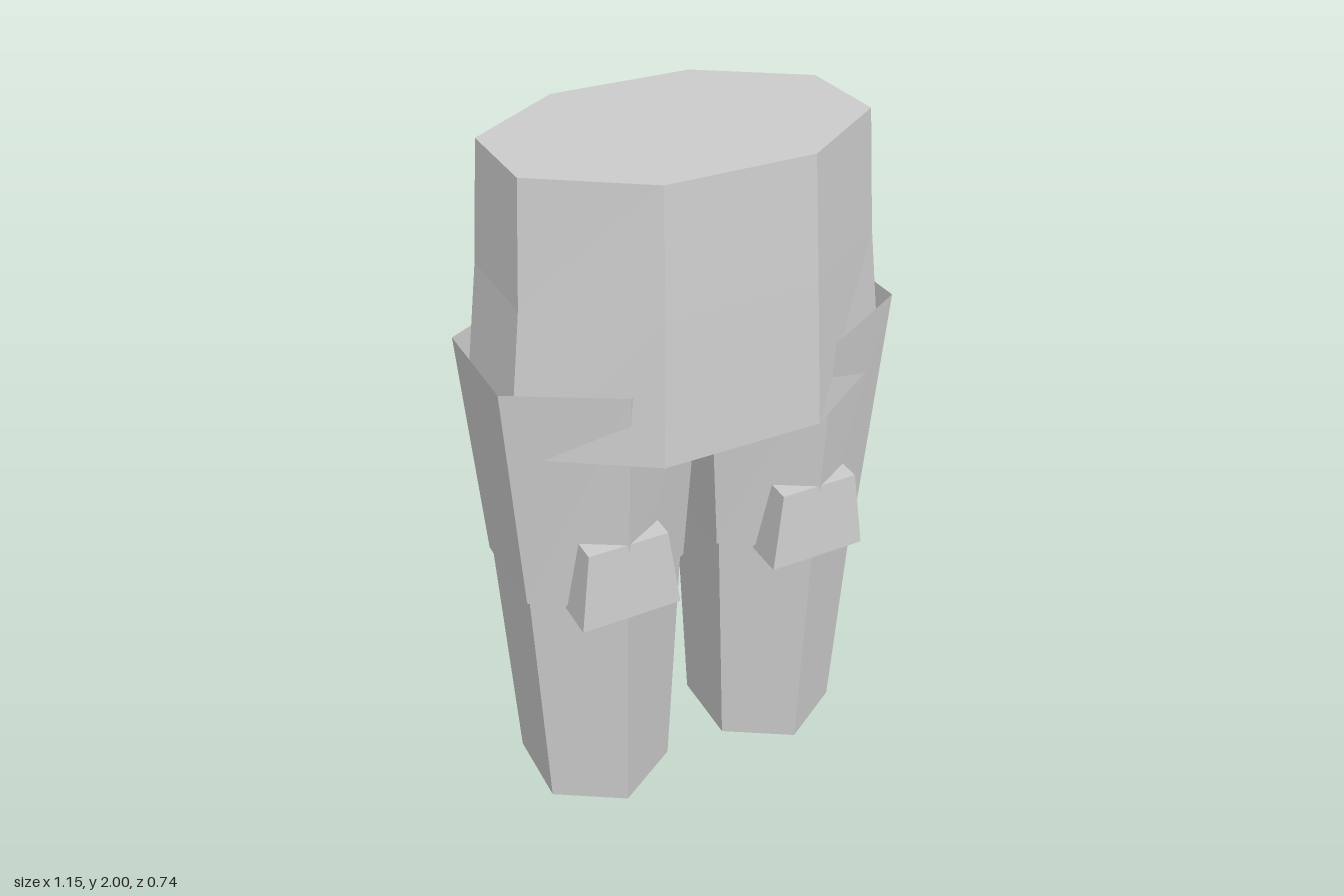
import * as THREE from 'three';

const grey = new THREE.MeshStandardMaterial({ color: 0xcccccc, side: THREE.DoubleSide });
grey.name = 'plain grey';

// Joins rings of [x, y, z] points (bottom to top) into a faceted solid
function loft(name, rings, { bottom = true, top = true } = {}) {
  const pos = [];
  const tri = (a, b, c) => pos.push(...a, ...b, ...c);
  const n = rings[0].length;
  for (let r = 0; r < rings.length - 1; r++) {
    const lo = rings[r], hi = rings[r + 1];
    for (let i = 0; i < n; i++) {
      const j = (i + 1) % n;
      tri(lo[i], lo[j], hi[j]);
      tri(lo[i], hi[j], hi[i]);
    }
  }
  const first = rings[0], last = rings[rings.length - 1];
  for (let i = 1; i < n - 1; i++) {
    if (bottom) tri(first[0], first[i + 1], first[i]);
    if (top) tri(last[0], last[i], last[i + 1]);
  }
  const geo = new THREE.BufferGeometry();
  geo.setAttribute('position', new THREE.Float32BufferAttribute(pos, 3));
  geo.computeVertexNormals();
  const mesh = new THREE.Mesh(geo, grey);
  mesh.name = name;
  return mesh;
}

// Eight-sided ring: side corners at (sx, sz), front and back corners at (fx, fz)
const octagon = (y, sx, sz, fx, fz) => [
  [-fx, y, fz], [fx, y, fz], [sx, y, sz], [sx, y, -sz],
  [fx, y, -fz], [-fx, y, -fz], [-sx, y, -sz], [-sx, y, sz],
];

// Six-sided ring with points to the front and back
const hexagon = (y, hx, r) => [
  [0, y, r], [hx, y, r / 2], [hx, y, -r / 2],
  [0, y, -r], [-hx, y, -r / 2], [-hx, y, r / 2],
];

const rectangle = (y, hx, back, front) => [
  [-hx, y, front], [hx, y, front], [hx, y, back], [-hx, y, back],
];

export function createModel() {
  const model = new THREE.Group();
  model.name = 'trousers';

  // Hips
  model.add(loft('hips', [
    octagon(1.27, 0.55, 0.155, 0.225, 0.37),
    octagon(1.67, 0.5, 0.145, 0.21, 0.348),
    octagon(2, 0.476, 0.133, 0.2, 0.323),
  ]));

  for (const side of [1, -1]) {
    const leg = new THREE.Group();
    leg.name = side > 0 ? 'leftLeg' : 'rightLeg';
    leg.position.x = side * 0.292;

    // Shin, slightly narrower than the thigh cuff above it
    leg.add(loft('lowerLeg', [hexagon(0, 0.195, 0.24), hexagon(0.785, 0.23, 0.275)]));

    // Thigh, open at the top around the hips
    leg.add(loft('upperLeg', [hexagon(0.78, 0.238, 0.28), hexagon(1.465, 0.281, 0.322)], { top: false }));

    // Knee pad sunk into the front of the leg
    leg.add(loft('kneePad', [rectangle(0.765, 0.145, 0.1, 0.303), rectangle(1, 0.115, 0.1, 0.291)]));

    model.add(leg);
  }
  return model;
}
